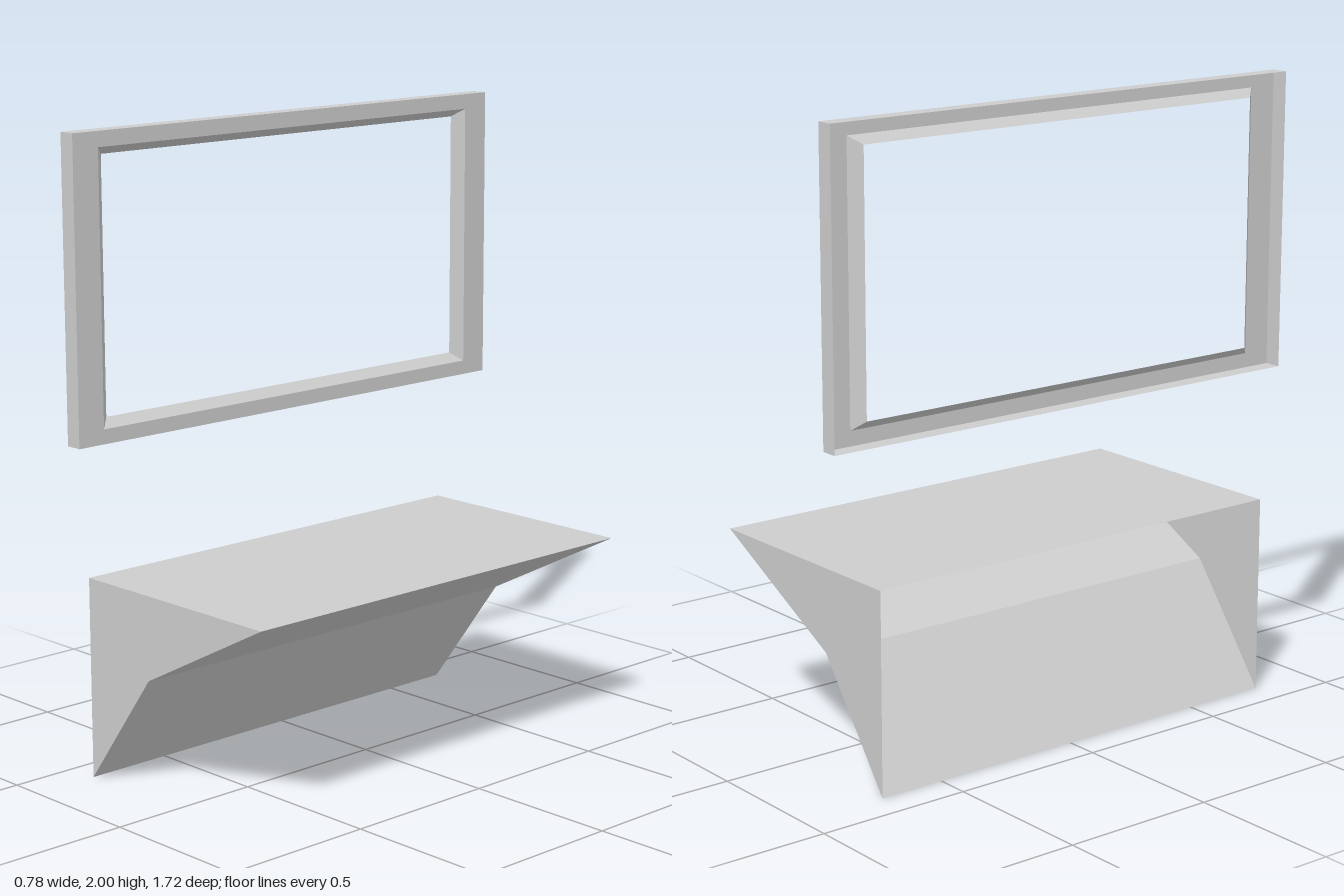
import * as THREE from 'three';

const paint = new THREE.MeshStandardMaterial({ color: 0xcccccc, side: THREE.DoubleSide });
paint.name = 'light grey';

// Flat quads joining successive loops of points
function skin(loops, closed) {
  const pos = [];
  for (let k = 0; k + 1 < loops.length; k++) {
    const a = loops[k], b = loops[k + 1], n = a.length;
    for (let i = 0; i < (closed ? n : n - 1); i++) {
      const j = (i + 1) % n;
      pos.push(...a[i], ...a[j], ...b[j], ...a[i], ...b[j], ...b[i]);
    }
  }
  const g = new THREE.BufferGeometry();
  g.setAttribute('position', new THREE.Float32BufferAttribute(pos, 3));
  g.computeVertexNormals();
  return g;
}

function addMesh(parent, name, geometry) {
  const mesh = new THREE.Mesh(geometry, paint);
  mesh.name = name;
  parent.add(mesh);
  return mesh;
}

// Rectangle in the plane x, counter-clockwise seen from +x
const rect = (x, z, y0, y1) => [[x, y0, z], [x, y0, -z], [x, y1, -z], [x, y1, z]];

export function createModel() {
  const model = new THREE.Group();
  model.name = 'wedgeAndFrame';

  // Hollow frame, open at the back: outer sides, front rim, bevelled inner lip
  addMesh(model, 'frame', skin([
    rect(-0.383, 0.862, 1.062, 2),
    rect(-0.328, 0.862, 1.062, 2),
    rect(-0.328, 0.768, 1.108, 1.952),
    rect(-0.36, 0.733, 1.136, 1.927),
  ], true));

  // Wedge shell, open at the wall side
  const wedge = new THREE.Group();
  wedge.name = 'wedge';
  model.add(wedge);
  const profile = [[-0.395, 0], [-0.118, 0.373], [0.39, 0.638], [-0.395, 0.638]];
  const back = -0.717, front = 0.785;
  addMesh(wedge, 'wedgeShell', skin([back, front].map(z => profile.map(([x, y]) => [x, y, z])), false));

  // End caps
  const shape = new THREE.Shape(profile.map(([x, y]) => new THREE.Vector2(x, y)));
  addMesh(wedge, 'frontCap', new THREE.ShapeGeometry(shape)).position.z = front;
  const backCap = new THREE.ShapeGeometry(shape);
  backCap.index.array.reverse();
  backCap.computeVertexNormals();
  addMesh(wedge, 'backCap', backCap).position.z = back;

  return model;
}
